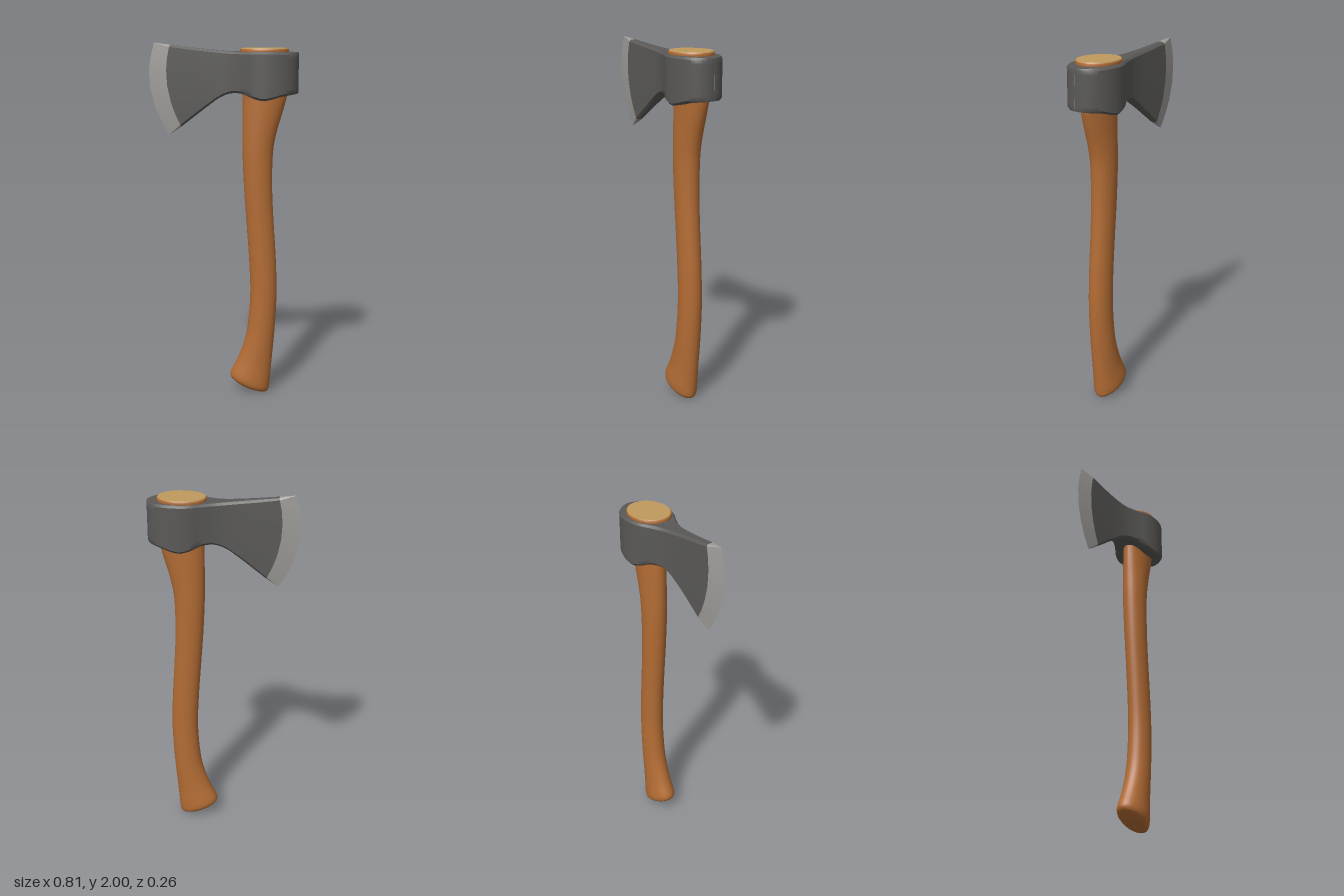
import * as THREE from 'three';
import { toCreasedNormals } from 'three/addons/utils/BufferGeometryUtils.js';

const wood = new THREE.MeshStandardMaterial({ name: 'varnished wood', color: 0xb36c34 });
const endGrain = new THREE.MeshStandardMaterial({ name: 'end grain', color: 0xbf9a5e });
const iron = new THREE.MeshStandardMaterial({ name: 'dark iron', color: 0x5a5957 });
const steel = new THREE.MeshStandardMaterial({ name: 'ground steel', color: 0x9f9d99 });

// Skin a list of closed rings that share one point count.
function loft(rings, crease) {
  const n = rings[0].length, index = [];
  for (let i = 0; i < rings.length - 1; i++) {
    for (let j = 0; j < n; j++) {
      const a = i * n + j, b = i * n + (j + 1) % n;
      index.push(a, a + n, b, b, a + n, b + n);
    }
  }
  const geometry = new THREE.BufferGeometry();
  geometry.setAttribute('position', new THREE.Float32BufferAttribute(rings.flat(2), 3));
  geometry.setIndex(index);
  return toCreasedNormals(geometry, crease);
}

// Smooth rows of six numbers by running two curves through their halves.
function smoothRows(rows, steps) {
  const curve = (k) => new THREE.CatmullRomCurve3(
    rows.map((r) => new THREE.Vector3(r[k], r[k + 1], r[k + 2])), false, 'catmullrom', 0.5);
  const a = curve(0), b = curve(3);
  const count = (rows.length - 1) * steps;
  return Array.from({ length: count + 1 }, (_, i) =>
    [...a.getPoint(i / count).toArray(), ...b.getPoint(i / count).toArray()]);
}

// Handle section: an ellipse between a front-edge point and a back-edge point.
function handleRing([lx, ly, rz, rx, ry]) {
  return Array.from({ length: 32 }, (_, j) => {
    const angle = j / 32 * Math.PI * 2, c = Math.cos(angle);
    return [(lx + rx) / 2 + c * (rx - lx) / 2, (ly + ry) / 2 + c * (ry - ly) / 2, rz * Math.sin(angle)];
  });
}

// Head section: an upright plate with small chamfers, bowed forward at mid-height.
function headRing([tx, ty, half, bx, by, bow]) {
  const h = Math.max(half, 0.0008), r = Math.min(h * 0.4, 0.012), e = r / (ty - by);
  const side = [[0, h - r], [e, h], [0.15, h], [0.3, h], [0.5, h], [0.7, h], [0.85, h], [1 - e, h], [1, h - r]];
  const point = ([t, z]) => [bx + (tx - bx) * t + bow * 4 * t * (1 - t), by + (ty - by) * t, z];
  return [...side.map(point), ...side.map(([t, z]) => point([t, -z])).reverse()];
}

export function createModel() {
  const group = new THREE.Group();
  const add = (name, geometry, material) => {
    const mesh = new THREE.Mesh(geometry, material);
    mesh.name = name;
    group.add(mesh);
    return mesh;
  };

  // Handle rows: front edge x, y, half depth, back edge x, y, unused
  const handleRows = [
    [0.165, 0.022, 0.001, 0.17, 0.02, 0],
    [0.10, 0.045, 0.045, 0.235, 0.004, 0],
    [0.05, 0.08, 0.068, 0.254, 0.013, 0],
    [0.035, 0.105, 0.075, 0.261, 0.04, 0],
    [0.043, 0.135, 0.074, 0.265, 0.085, 0],
    [0.075, 0.20, 0.068, 0.272, 0.17, 0],
    [0.112, 0.30, 0.065, 0.281, 0.28, 0],
    [0.135, 0.41, 0.063, 0.29, 0.40, 0],
    [0.148, 0.60, 0.061, 0.298, 0.60, 0],
    [0.14, 0.80, 0.06, 0.291, 0.80, 0],
    [0.125, 1.0, 0.06, 0.277, 1.0, 0],
    [0.11, 1.2, 0.062, 0.266, 1.2, 0],
    [0.10, 1.4, 0.065, 0.268, 1.4, 0],
    [0.099, 1.52, 0.066, 0.288, 1.52, 0],
    [0.098, 1.64, 0.067, 0.322, 1.64, 0],
    [0.098, 1.74, 0.07, 0.345, 1.74, 0],
    [0.09, 1.85, 0.095, 0.345, 1.85, 0],
    [0.085, 1.955, 0.111, 0.348, 1.955, 0],
    [0.09, 1.967, 0.107, 0.344, 1.967, 0],
  ];
  add('handle', loft(smoothRows(handleRows, 4).map(handleRing), 0.9), wood);

  // Exposed end of the handle above the eye
  const cap = add('handleEnd', new THREE.CylinderGeometry(0.97, 1, 0.008, 48), endGrain);
  cap.scale.set(0.129, 1, 0.109);
  cap.position.set(0.217, 1.967, 0);

  // Head rows: top x, y, half thickness, bottom x, y, bow
  const headRows = [
    [-0.295, 1.987, 0.024, -0.235, 1.548, -0.045],
    [-0.20, 1.976, 0.029, -0.165, 1.602, -0.03],
    [-0.10, 1.965, 0.035, -0.09, 1.66, -0.015],
    [-0.02, 1.957, 0.045, -0.02, 1.71, 0],
    [0.04, 1.953, 0.06, 0.04, 1.732, 0],
    [0.10, 1.952, 0.087, 0.10, 1.73, 0],
    [0.15, 1.952, 0.114, 0.15, 1.71, 0],
    [0.205, 1.952, 0.128, 0.205, 1.696, 0],
    [0.255, 1.952, 0.129, 0.255, 1.703, 0],
    [0.305, 1.951, 0.119, 0.305, 1.717, 0],
    [0.35, 1.95, 0.097, 0.35, 1.724, 0],
    [0.38, 1.949, 0.067, 0.38, 1.727, 0],
    [0.396, 1.948, 0.035, 0.396, 1.729, 0],
    [0.402, 1.947, 0, 0.402, 1.73, 0],
  ];
  add('axeHead', loft(smoothRows(headRows, 4).map(headRing), 0.7), iron);

  // Ground cutting edge, tapering to a sharp curved line
  const edgeRows = [[-0.38, 2, 0, -0.302, 1.502, -0.064], headRows[0]];
  add('cuttingEdge', loft(edgeRows.map(headRing), 0.5), steel);

  return group;
}
